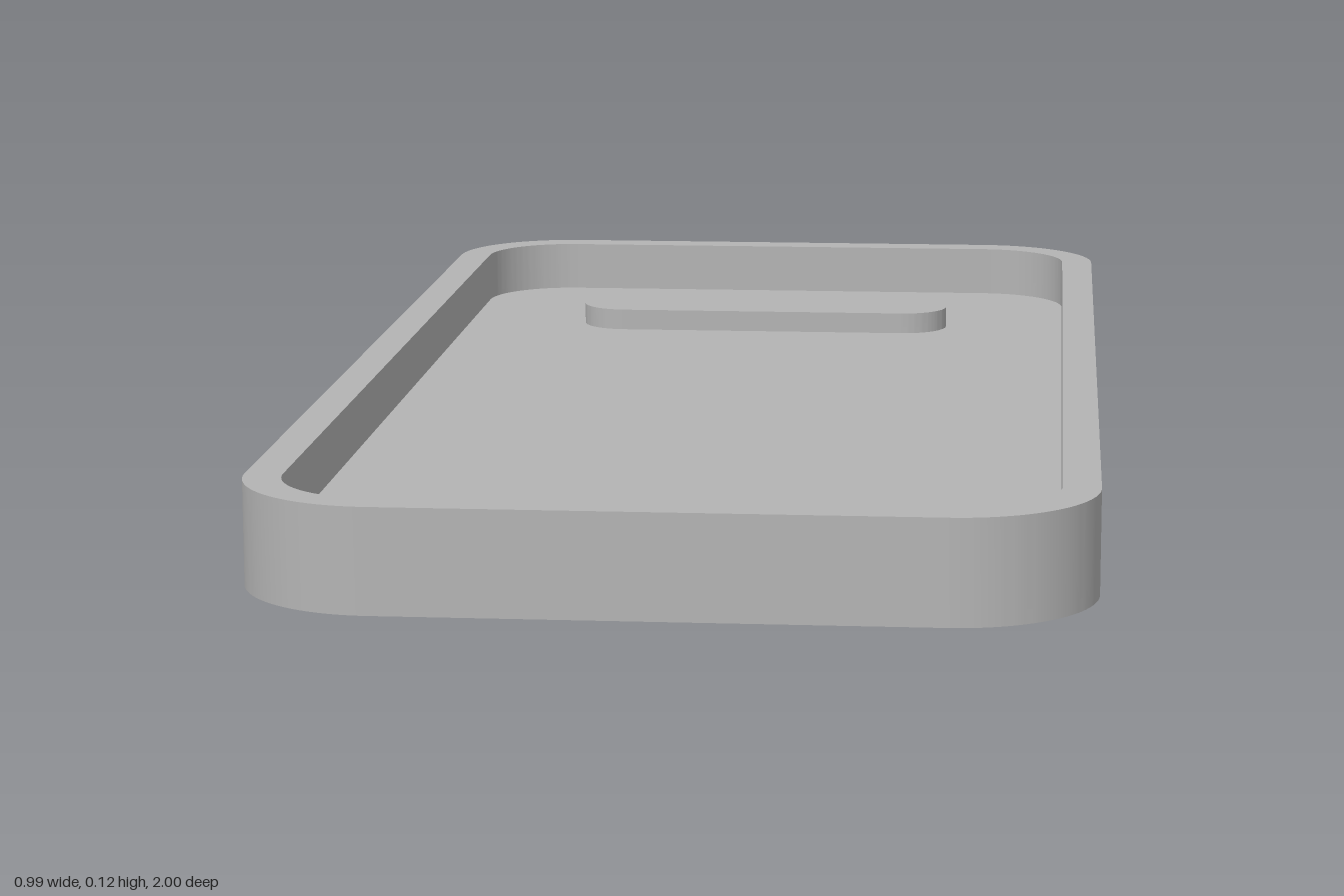
import * as THREE from 'three';
import { toCreasedNormals } from 'three/addons/utils/BufferGeometryUtils.js';

// Rounded rectangle centred on the origin
function roundedRect(Type, w, d, r) {
  const x = w / 2 - r, y = d / 2 - r;
  const path = new Type();
  path.absarc(x, y, r, 0, Math.PI / 2);
  path.absarc(-x, y, r, Math.PI / 2, Math.PI);
  path.absarc(-x, -y, r, Math.PI, Math.PI * 1.5);
  path.absarc(x, -y, r, Math.PI * 1.5, Math.PI * 2);
  path.closePath();
  return path;
}

// Flat slab standing on y = bottom
function slab(name, shape, bottom, height, material) {
  const extruded = new THREE.ExtrudeGeometry(shape, { depth: height, bevelEnabled: false, curveSegments: 16 });
  extruded.rotateX(-Math.PI / 2);
  const mesh = new THREE.Mesh(toCreasedNormals(extruded, Math.PI / 6), material);
  mesh.name = name;
  mesh.position.y = bottom;
  return mesh;
}

export function createModel() {
  const group = new THREE.Group();
  group.name = 'tray';
  const grey = new THREE.MeshStandardMaterial({ color: 0xb4b4b4 });
  grey.name = 'grey';

  const height = 0.125, floorTop = 0.054;

  // Upright wall with a rounded opening
  const wall = roundedRect(THREE.Shape, 0.99, 2, 0.17);
  wall.holes.push(roundedRect(THREE.Path, 0.9, 1.91, 0.125));
  group.add(slab('wall', wall, 0, height, grey));

  // Floor filling the opening
  group.add(slab('floor', roundedRect(THREE.Shape, 0.9, 1.91, 0.125), 0, floorTop, grey));

  // Raised bar near the back end
  const bar = slab('raisedBar', roundedRect(THREE.Shape, 0.55, 0.138, 0.066), floorTop, 0.03, grey);
  bar.position.z = -0.643;
  group.add(bar);

  return group;
}
